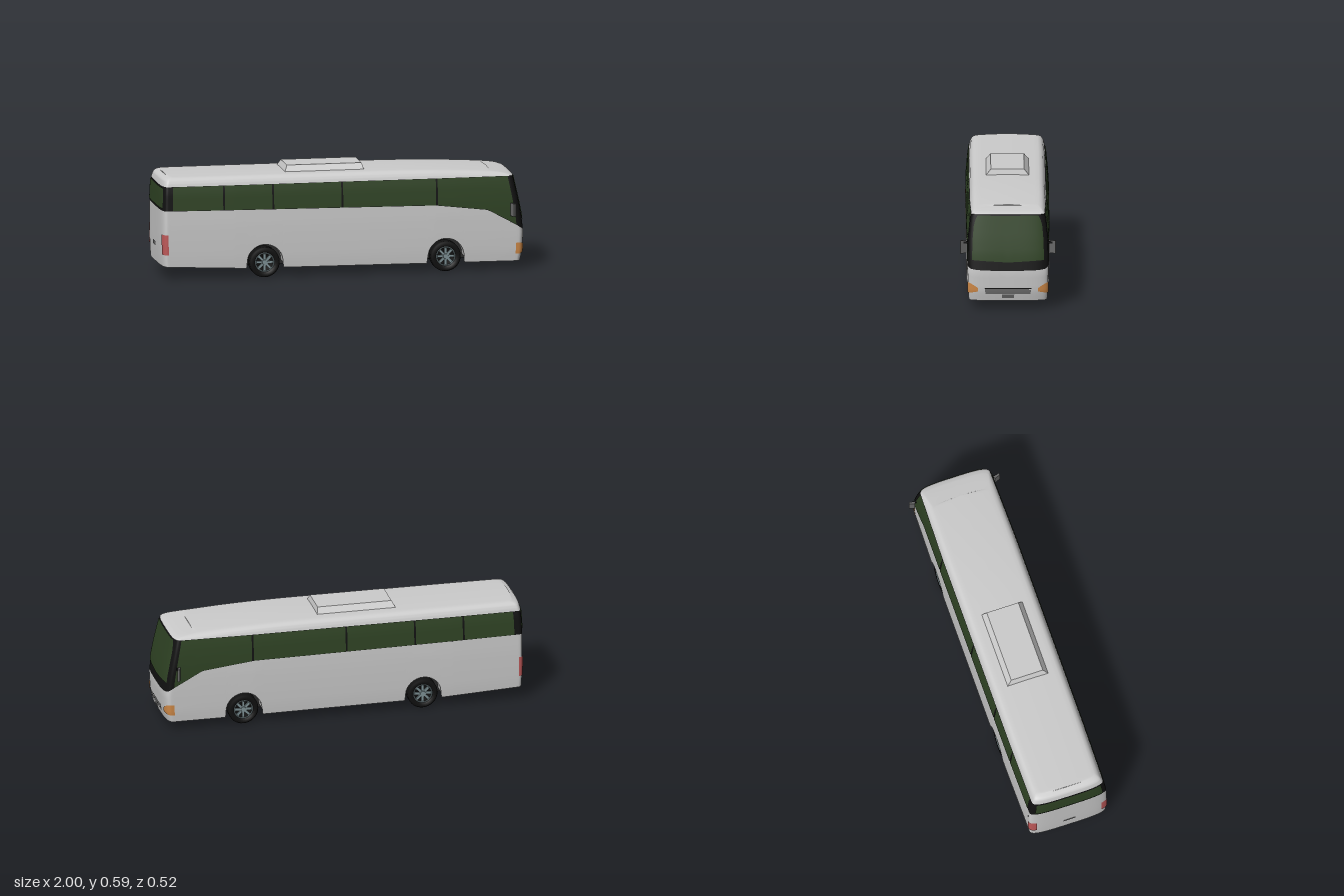
import * as THREE from 'three';
import { ParametricGeometry } from 'three/addons/geometries/ParametricGeometry.js';

const mat = (color) => new THREE.MeshStandardMaterial({ color, side: THREE.DoubleSide });
const paint = mat(0xcccccc), black = mat(0x111111), glass = mat(0x2f4324), dark = mat(0x2c2c2c),
  grey = mat(0x666666), amber = mat(0xd08a48), red = mat(0xc05a5a), rimGrey = mat(0x7f9296);

const clamp01 = (v) => Math.min(1, Math.max(0, v));
// piecewise-linear lookup of column c in rows sorted by column 0
function lookup(rows, v, c = 1) {
  if (v <= rows[0][0]) return rows[0][c];
  for (let i = 1; i < rows.length; i++) {
    const a = rows[i - 1], b = rows[i];
    if (v <= b[0]) return a[c] + (b[c] - a[c]) * (v - a[0]) / (b[0] - a[0]);
  }
  return rows[rows.length - 1][c];
}

// hull sections: height, half width, nose x, tail x
const HULL = [
  [0.04, 0.219, 0.982, -0.993], [0.10, 0.224, 0.995, -0.998], [0.20, 0.226, 1, -1],
  [0.30, 0.226, 0.988, -1], [0.38, 0.223, 0.972, -1], [0.47, 0.214, 0.952, -0.997],
  [0.51, 0.206, 0.943, -0.994], [0.525, 0.201, 0.935, -0.99], [0.54, 0.193, 0.915, -0.985],
  [0.55, 0.183, 0.88, -0.975], [0.556, 0.168, 0.82, -0.955]];
const REAR = 0.04, NOSE = 0.05, POWER = 2 / 3.6;
const WHEELS_X = [-0.435, 0.56], WHEEL_R = 0.083, ARCH_R = 0.1;

// loop parameter s: -1 rear centre, 0..1 along the side, 2 nose centre
const sideS = (x) => (x + 1 - REAR) / (2 - REAR - NOSE);
const noseS = (f) => 1 + Math.acos(Math.pow(f, 1 / POWER)) / (Math.PI / 2);
const rearS = (f) => 1 - noseS(f);
function plan(s) {
  if (s >= 0 && s <= 1) return [-1 + REAR + s * (2 - REAR - NOSE), 1];
  const a = Math.min(1, s > 1 ? s - 1 : -s) * Math.PI / 2;
  const along = Math.pow(Math.max(0, Math.sin(a)), POWER), across = Math.pow(Math.max(0, Math.cos(a)), POWER);
  return [s > 1 ? 1 - NOSE + NOSE * along : -1 + REAR - REAR * along, across];
}
function hullPoint(s, y, out, target) {
  const [px, pz] = plan(s);
  const front = clamp01((px - 0.6) / 0.4), back = clamp01((-px - 0.6) / 0.4);
  const x = px + (lookup(HULL, y, 2) - 1 + out) * front + (lookup(HULL, y, 3) + 1 - out) * back;
  const taper = 1 - 0.04 * clamp01((px - 0.5) / 0.5) - 0.02 * back;
  const drop = 0.026 * clamp01((x - 0.2) / 0.7) ** 2 * clamp01((y - 0.51) / 0.046);
  return target.set(x, y - drop, (lookup(HULL, y, 1) * taper + out) * pz);
}

// lower edges of the paint and of the window band
const BELT = [[-1, 0.38], [0.5, 0.365], [0.8, 0.33], [0.95, 0.245], [0.985, 0.22], [1, 0.212]];
const belt = (s) => lookup(BELT, plan(s)[0]);
function skirt(s) {
  const x = plan(s)[0];
  let y = lookup([[-1, 0.075], [-0.55, 0.055], [0.3, 0.05], [1, 0.045]], x);
  for (const wx of WHEELS_X) {
    const d = Math.abs(x - wx);
    if (d < ARCH_R) y = Math.max(y, 0.083 + Math.sqrt(ARCH_R ** 2 - d ** 2));
  }
  return y;
}

export function createModel() {
  const bus = new THREE.Group();
  const add = (name, geometry, material, x = 0, y = 0, z = 0, parent = bus) => {
    const mesh = new THREE.Mesh(geometry, material);
    mesh.name = name;
    mesh.position.set(x, y, z);
    parent.add(mesh);
    return mesh;
  };
  const box = (w, h, d) => new THREE.BoxGeometry(w, h, d);
  const addPair = (name, geometry, material) => {
    geometry.computeVertexNormals();
    add(name + 'Left', geometry, material);
    add(name + 'Right', geometry, material).scale.z = -1;
  };
  // patch that follows the hull between two loop positions and two height rules
  const patch = (name, material, s0, s1, low, high, out = 0.003, n = 12, rows = 6) => {
    const at = (rule, s, u) => (typeof rule === 'function' ? rule(s, u) : rule);
    addPair(name, new ParametricGeometry((u, v, p) => {
      const s = s0 + (s1 - s0) * u, lo = at(low, s, u);
      hullPoint(s, lo + (at(high, s, u) - lo) * v, out, p);
    }, n, rows), material);
  };

  // painted shell and the black window band
  patch('rearPanel', paint, -1, 0, skirt, belt, 0, 24);
  patch('sidePanel', paint, 0, 1, skirt, belt, 0, 320, 8);
  patch('nosePanel', paint, 1, 2, skirt, belt, 0, 28, 8);
  patch('windowBand', black, -1, 2, belt, 0.51, 0, 150, 8);

  // roof: shoulder sections first, then closing in to the centre line
  addPair('roof', new ParametricGeometry((u, v, p) => {
    const close = clamp01((v - 0.6) / 0.4);
    hullPoint(-1 + 3 * u, 0.51 + 0.046 * Math.min(1, v / 0.6), 0, p);
    p.z *= 1 - close;
    p.y += 0.004 * (1 - (1 - close) ** 2);
  }, 150, 20), paint);

  // side windows between thin black posts
  const posts = [-0.945, -0.66, -0.39, -0.01, 0.51, 0.955];
  for (let i = 0; i < posts.length - 1; i++)
    patch('sideWindow' + (i + 1), glass, sideS(posts[i] + 0.005), Math.min(1, sideS(posts[i + 1] - 0.005)),
      (s) => belt(s) + 0.002, 0.509, 0.002, 20);

  // windscreen with rounded upper corners, and rear window
  patch('windscreen', glass, noseS(0.88), 2, (s) => 0.257 + 0.013 * plan(s)[1],
    (s, u) => 0.505 - 0.06 * (1 - clamp01(u / 0.2)) ** 2, 0.003, 30, 8);
  patch('rearWindow', glass, -1, rearS(0.88), 0.392, 0.503, 0.003, 16);

  // lamps, grille and plates
  patch('headlight', amber, sideS(0.945), noseS(0.74), (s, u) => 0.085 + 0.012 * u * u,
    (s, u) => 0.145 - 0.03 * u ** 3, 0.003, 20);
  patch('tailLight', red, rearS(0.82), sideS(-0.97), 0.14, 0.25, 0.003, 16);
  [0.088, 0.101, 0.113].forEach((y, i) =>
    patch('grilleBar' + (i + 1), black, noseS(0.56 + 0.008 * i), 2, y - 0.003, y + 0.003, 0.003, 12, 1));
  patch('frontPlate', grey, noseS(0.155), 2, 0.06, 0.08, 0.003, 4, 1);
  patch('rearPlate', grey, -1, rearS(0.15), 0.165, 0.187, 0.003, 4, 1);

  // air conditioner: sloped-sided pod
  const pod = box(0.41, 0.05, 0.18, 8, 1, 8);
  const pos = pod.attributes.position;
  for (let i = 0; i < pos.count; i++)
    if (pos.getY(i) < 0) {
      pos.setX(i, pos.getX(i) < 0 ? -0.23 : 0.218);
      pos.setZ(i, Math.sign(pos.getZ(i)) * 0.13);
    }
  pod.computeVertexNormals();
  add('airConditioner', pod, paint, -0.085, 0.565, 0);

  // underbody
  add('chassis', box(1.82, 0.14, 0.29), dark, -0.02, 0.13, 0);
  add('floor', box(1.88, 0.01, 0.4), dark, -0.01, 0.2, 0);

  // wheels and arch liners
  const tyre = new THREE.LatheGeometry([[0, -0.032], [0.075, -0.032], [0.083, -0.024], [0.083, 0.024],
    [0.076, 0.032], [0.054, 0.032], [0.051, 0.018], [0, 0.018]].map((p) => new THREE.Vector2(...p)), 36)
    .rotateX(Math.PI / 2);
  const liner = new THREE.CylinderGeometry(ARCH_R, ARCH_R, 0.072, 24, 1, true, Math.PI / 2, Math.PI)
    .rotateX(Math.PI / 2);
  const rim = new THREE.TorusGeometry(0.05, 0.004, 6, 32);
  const hub = new THREE.CylinderGeometry(0.014, 0.017, 0.016, 16).rotateX(Math.PI / 2);
  for (const [i, x] of WHEELS_X.entries())
    for (const side of [1, -1]) {
      const wheel = new THREE.Group();
      wheel.name = (i ? 'front' : 'rear') + 'Wheel' + (side > 0 ? 'Left' : 'Right');
      wheel.position.set(x, WHEEL_R, side * 0.183);
      wheel.rotation.y = side > 0 ? 0 : Math.PI;
      bus.add(wheel);
      add('tyre', tyre, black, 0, 0, 0, wheel);
      add('rim', rim, rimGrey, 0, 0, 0.027, wheel);
      add('hub', hub, rimGrey, 0, 0, 0.024, wheel);
      for (let k = 0; k < 8; k++) {
        const a = k * Math.PI / 4;
        add('spoke', box(0.036, 0.014, 0.008), rimGrey, 0.031 * Math.cos(a), 0.031 * Math.sin(a), 0.023, wheel)
          .rotation.z = a;
      }
      // the liner's half circle is turned so that it opens downwards
      add('archLiner', liner, paint, x, 0.083, side * 0.186);
    }

  // mirrors on short arms
  for (const side of [1, -1]) {
    const mirror = add('mirror', box(0.012, 0.07, 0.034), grey, 0.925, 0.33, side * 0.242);
    mirror.rotation.y = side * 0.35;
    add('mirrorArm', box(0.012, 0.01, 0.035), black, 0.928, 0.355, side * 0.222);
  }
  return bus;
}
